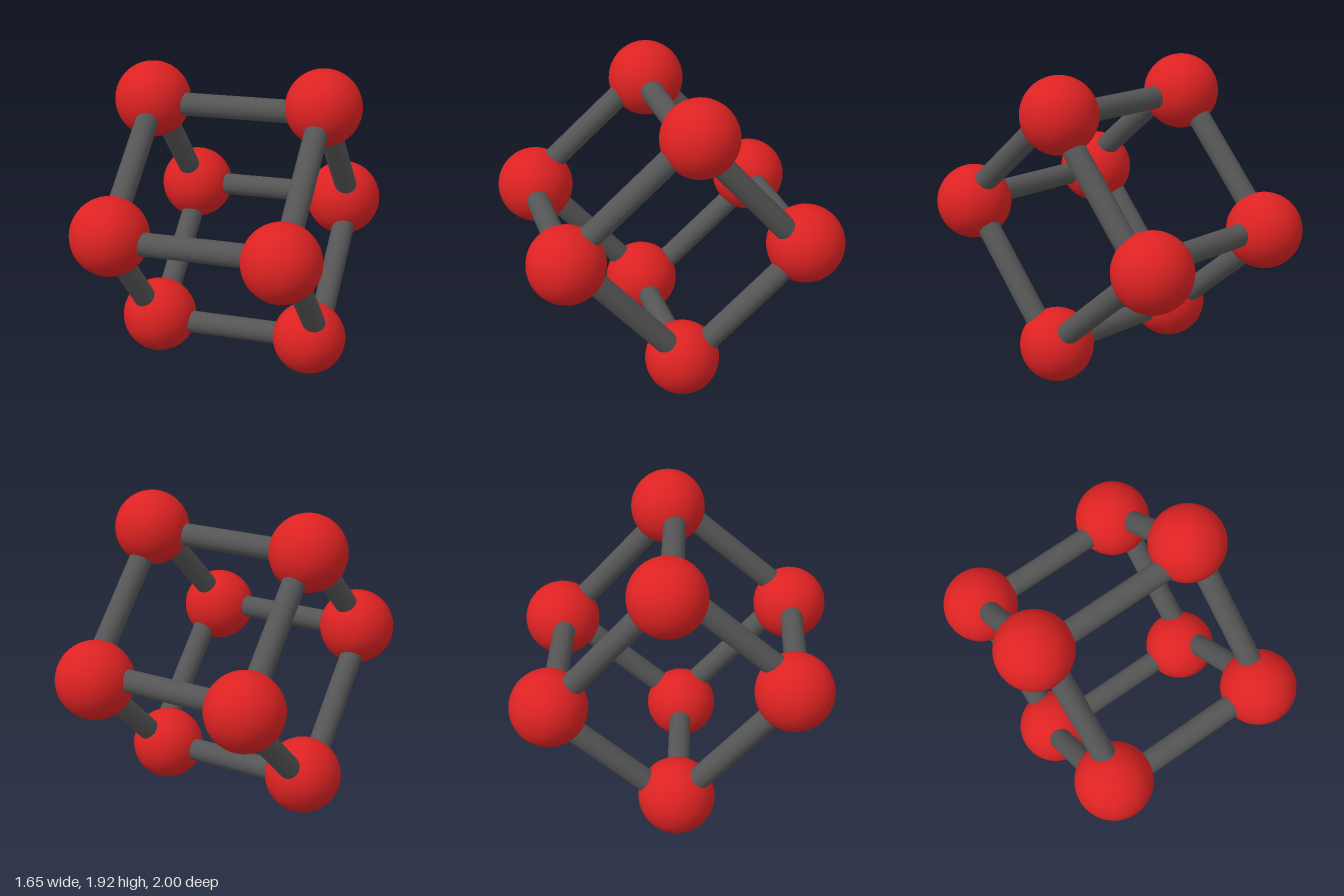
import * as THREE from 'three';

const red = new THREE.MeshStandardMaterial({ color: 0xdd2222 });
red.name = 'red';
const grey = new THREE.MeshStandardMaterial({ color: 0x555555 });
grey.name = 'darkGrey';

// Corner balls: x, y, z, radius
const balls = {
  topLeft: [0.525, 1.695, -0.08, 0.23],
  topRight: [-0.55, 1.66, 0.03, 0.233],
  frontLeft: [0.588, 1.01, 0.705, 0.231],
  frontRight: [-0.465, 1.023, 0.765, 0.235],
  bottomLeft: [0.498, 0.236, 0.01, 0.226],
  bottomRight: [-0.51, 0.237, 0.08, 0.235],
  backLeft: [0.425, 0.905, -0.763, 0.238],
  backRight: [-0.595, 0.9, -0.67, 0.234],
};

// The three shared edge directions of the tilted cube, each with its rods' centres
const rodSets = [
  {
    name: 'crossRod', direction: [1, 0.022, -0.077],
    centres: [[0.01, 1.657, 0.006], [0.06, 1.018, 0.75], [0, 0.225, 0.045], [-0.07, 0.922, -0.695]],
  },
  {
    name: 'forwardSlopingRod', direction: [0.072, -0.66, 0.75],
    centres: [[0.575, 1.34, 0.38], [-0.478, 1.385, 0.425], [0.51, 0.575, -0.38], [-0.55, 0.54, -0.32]],
  },
  {
    name: 'backwardSlopingRod', direction: [-0.05, -0.75, -0.66],
    centres: [[0.583, 0.63, 0.325], [-0.53, 0.61, 0.4], [0.507, 1.305, -0.39], [-0.572, 1.287, -0.33]],
  },
];

export function createModel() {
  const model = new THREE.Group();
  model.name = 'ballAndRodCube';

  // Balls
  for (const [name, [x, y, z, r]] of Object.entries(balls)) {
    const ball = new THREE.Mesh(new THREE.SphereGeometry(r, 48, 32), red);
    ball.name = name + 'Ball';
    ball.position.set(x, y, z);
    model.add(ball);
  }

  // Rods
  const rodGeometry = new THREE.CylinderGeometry(0.07, 0.07, 0.98, 32);
  const up = new THREE.Vector3(0, 1, 0);
  for (const { name, direction, centres } of rodSets) {
    const axis = new THREE.Vector3(...direction).normalize();
    centres.forEach((centre, i) => {
      const rod = new THREE.Mesh(rodGeometry, grey);
      rod.name = name + (i + 1);
      rod.position.set(...centre);
      rod.quaternion.setFromUnitVectors(up, axis);
      model.add(rod);
    });
  }
  return model;
}
